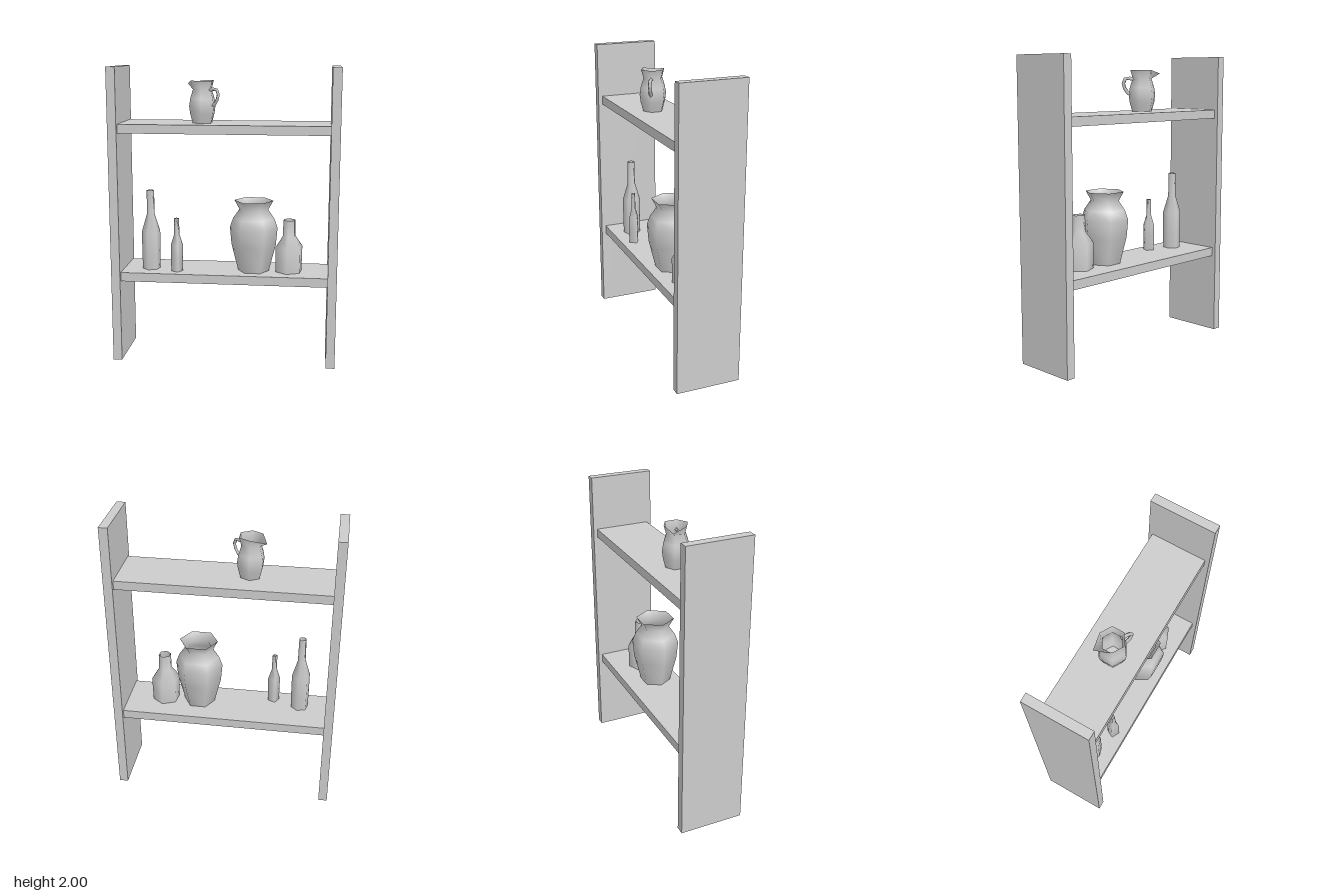
import * as THREE from 'three';

const clay = new THREE.MeshStandardMaterial({ color: 0xcccccc, side: THREE.DoubleSide });
clay.name = 'light grey';

const rad = THREE.MathUtils.degToRad;

// Board that is hollow and open on its underside; spans are [min, max]
function board(name, xs, ys, zs, openEnds) {
  const geo = new THREE.BoxGeometry(xs[1] - xs[0], ys[1] - ys[0], zs[1] - zs[0]);
  const idx = Array.from(geo.index.array);
  // box faces come in the order +x, -x, +y, -y, +z, -z
  geo.setIndex(idx.filter((_, i) => {
    const face = Math.floor(i / 6);
    return face !== 3 && !(openEnds && face < 2);
  }));
  geo.clearGroups();
  const mesh = new THREE.Mesh(geo, clay);
  mesh.name = name;
  mesh.position.set((xs[0] + xs[1]) / 2, (ys[0] + ys[1]) / 2, (zs[0] + zs[1]) / 2);
  return mesh;
}

// Few-sided turned vessel; profile is [radius, height] from base to rim
function vessel(name, x, z, sides, turn, profile) {
  const pts = profile.map(([r, y]) => new THREE.Vector2(r, y));
  const mesh = new THREE.Mesh(new THREE.LatheGeometry(pts, sides, rad(turn), Math.PI * 2), clay);
  mesh.name = name;
  mesh.position.set(x, 0, z);
  return mesh;
}

function createJug() {
  const jug = new THREE.Group();
  jug.name = 'jug';
  jug.position.set(-0.157, 0, 0.012);

  // Body, with one rim corner drawn out into a spout
  const profile = [[0.068, 1.62], [0.088, 1.69], [0.095, 1.74], [0.087, 1.79], [0.067, 1.85], [0.083, 1.907]];
  const body = vessel('jugBody', 0, 0, 6, 0, profile);
  const pos = body.geometry.attributes.position;
  const tip = 4 * profile.length + profile.length - 1;
  pos.setXYZ(tip, -0.108, 1.885, -0.067);
  jug.add(body);

  // Handle opposite the spout
  const path = [[0.058, 1.845], [0.115, 1.852], [0.133, 1.815], [0.11, 1.765], [0.08, 1.738]]
    .map(([r, y]) => new THREE.Vector3(r * 0.866, y, r * 0.5));
  const curve = new THREE.CatmullRomCurve3(path);
  const handle = new THREE.Mesh(new THREE.TubeGeometry(curve, 6, 0.012, 4), clay);
  handle.name = 'jugHandle';
  jug.add(handle);
  return jug;
}

export function createModel() {
  const model = new THREE.Group();
  model.name = 'shelfWithVases';

  // Upright side panels
  model.add(board('leftPanel', [0.7, 0.76], [0, 2], [-0.22, 0.22], false));
  model.add(board('rightPanel', [-0.76, -0.7], [0, 2], [-0.22, 0.22], false));

  // Shelves
  model.add(board('lowerShelf', [-0.7, 0.7], [0.557, 0.618], [-0.193, 0.19], true));
  model.add(board('upperShelf', [-0.7, 0.7], [1.567, 1.627], [-0.193, 0.19], true));

  // Vessels on the lower shelf
  model.add(vessel('tallBottle', -0.515, 0.045, 6, 107, [
    [0.06, 0.615], [0.063, 0.72], [0.063, 0.88], [0.027, 1.0], [0.025, 1.167]]));
  model.add(vessel('smallBottle', -0.326, 0.1, 4, 107, [
    [0.04, 0.615], [0.042, 0.7], [0.042, 0.8], [0.018, 0.875], [0.017, 0.987]]));
  model.add(vessel('largeVase', 0.193, 0.025, 6, 90, [
    [0.105, 0.615], [0.152, 0.8], [0.163, 0.92], [0.14, 0.985], [0.098, 1.045], [0.132, 1.107]]));
  model.add(vessel('squatBottle', 0.435, 0.02, 6, 113, [
    [0.094, 0.615], [0.098, 0.79], [0.045, 0.868], [0.043, 0.977]]));

  // Jug on the upper shelf
  model.add(createJug());
  return model;
}
